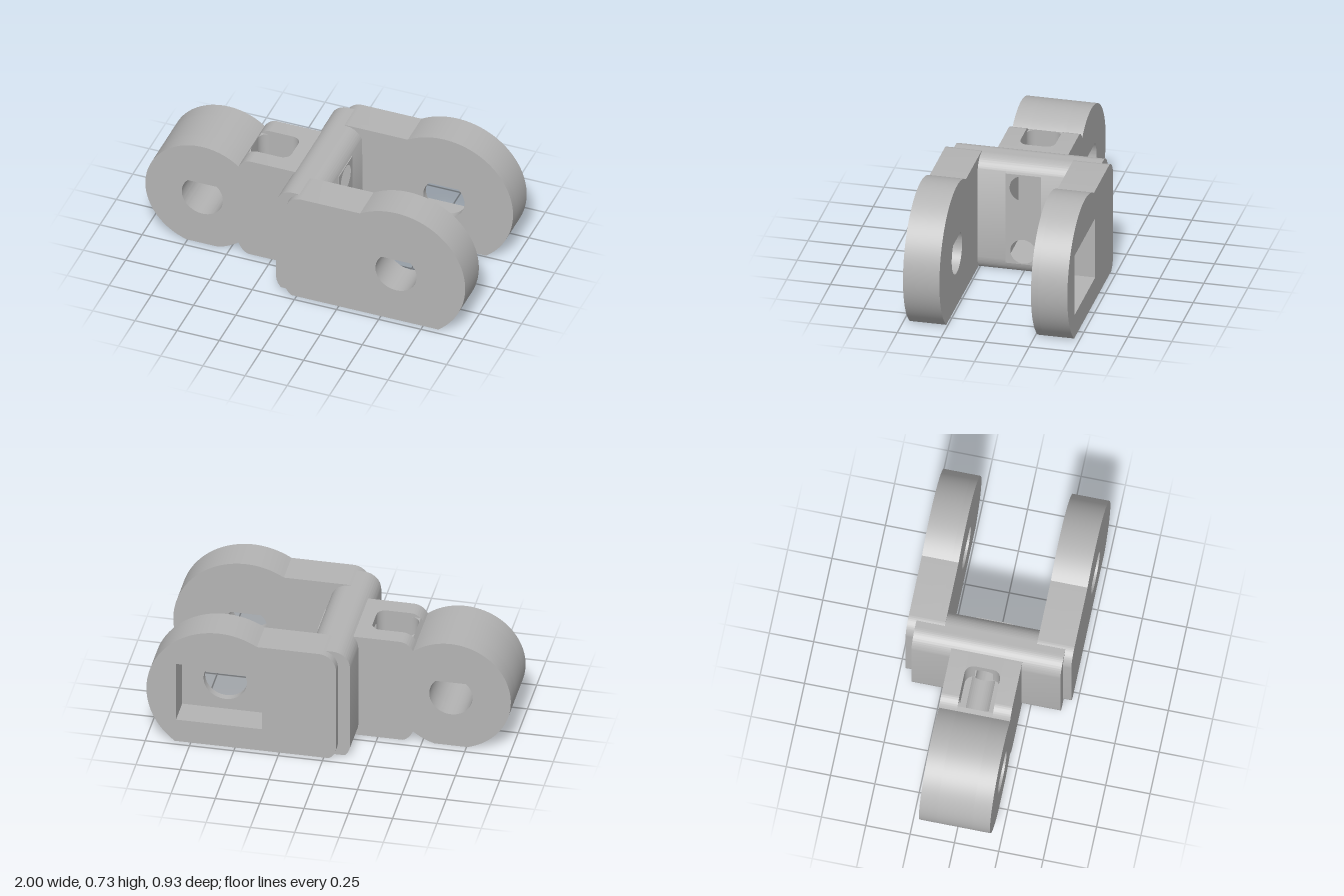
import * as THREE from 'three';
import { toCreasedNormals } from 'three/addons/utils/BufferGeometryUtils.js';

const grey = new THREE.MeshStandardMaterial({ color: 0xb4b4b4 });
grey.name = 'grey plastic';

const CY = 0.325; // height of both pivot holes
const BACK = -0.19; // where the slotted part of the tongue meets the bored core

export function createModel() {
  const model = new THREE.Group();
  model.name = 'hingeLink';

  function add(name, geometry) {
    const mesh = new THREE.Mesh(toCreasedNormals(geometry, 0.5), grey);
    mesh.name = name;
    model.add(mesh);
  }
  const extrude = (shape, depth) =>
    new THREE.ExtrudeGeometry(shape, { depth, bevelEnabled: false, curveSegments: 32 });
  // outline in x,y extruded along z
  const alongZ = (name, shape, z0, z1) => add(name, extrude(shape, z1 - z0).translate(0, 0, z0));
  // outline in z,y extruded along x
  const alongX = (name, shape, x0, x1) =>
    add(name, extrude(shape, x1 - x0).rotateY(Math.PI / 2).translate(x0, 0, 0));
  const box = (name, x0, x1, y0, y1, z0, z1) =>
    add(name, new THREE.BoxGeometry(x1 - x0, y1 - y0, z1 - z0)
      .translate((x0 + x1) / 2, (y0 + y1) / 2, (z0 + z1) / 2));

  // pivot hole: circle with a 45 degree peak
  function teardrop(cx) {
    const r = 0.122, p = new THREE.Path();
    p.moveTo(cx, CY + r * Math.SQRT2);
    p.absarc(cx, CY, r, Math.PI * 0.75, Math.PI * 2.25, false);
    p.closePath();
    return p;
  }
  function rectPath(x0, x1, y0, y1) {
    return new THREE.Path([[x0, y0], [x0, y1], [x1, y1], [x1, y0]].map(c => new THREE.Vector2(...c)));
  }

  // tongue: round knuckle plus neck, optionally with the top and bottom slots cut out
  function tongueShape(slotted) {
    const cx = -0.662, r = 0.338, cut = Math.asin(CY / r);
    const a = Math.atan2(0.26, 0.212);
    const s = new THREE.Shape();
    if (slotted) {
      s.moveTo(BACK, 0.203);
      s.lineTo(BACK, 0.44);
      s.lineTo(-0.41, 0.44);
      s.lineTo(-0.41, 0.475);
      s.lineTo(-0.43, 0.475);
      s.lineTo(-0.43, 0.617);
    } else {
      s.moveTo(-0.1, 0);
      s.lineTo(-0.1, 0.64);
      s.lineTo(-0.37, 0.64);
      s.quadraticCurveTo(-0.42, 0.64, -0.45, 0.585);
    }
    s.absarc(cx, CY, r, a, Math.PI + cut, false);
    s.absarc(cx, CY, r, -cut, -a, false);
    if (slotted) {
      s.lineTo(-0.43, 0.03);
      s.lineTo(-0.43, 0.168);
      s.lineTo(-0.41, 0.168);
      s.lineTo(-0.41, 0.203);
    } else {
      s.quadraticCurveTo(-0.425, 0.01, -0.39, 0);
    }
    s.closePath();
    s.holes.push(teardrop(cx));
    return s;
  }
  alongZ('tongueMiddle', tongueShape(true), -0.1, 0.1);
  alongZ('tongueCheek', tongueShape(false), 0.1, 0.2);
  alongZ('tongueCheek', tongueShape(false), -0.2, -0.1);

  // grooved floors of the slots, continuing the bores
  const bores = [
    { y: 0.517, r: 0.077, ledge: 0.475, base: 0.43 },
    { y: 0.13, r: 0.073, ledge: 0.168, base: 0.213 },
  ];
  for (const b of bores) {
    const a = Math.asin((b.ledge - b.y) / b.r);
    const s = new THREE.Shape();
    s.moveTo(-0.1, b.base);
    s.lineTo(0.1, b.base);
    s.lineTo(0.1, b.ledge);
    s.absarc(0, b.y, b.r, a, Math.PI - a, a < 0);
    s.lineTo(-0.1, b.ledge);
    s.closePath();
    alongX('slotFloor', s, -0.41, BACK);
  }

  // rounded inner corners of the slots
  for (const [cx, sx] of [[-0.43, 1], [BACK, -1]]) {
    for (const sz of [1, -1]) {
      const r = 0.05, pts = [new THREE.Vector2(cx, sz * 0.1)];
      for (let i = 0; i <= 8; i++) {
        const t = (i / 8) * Math.PI / 2;
        pts.push(new THREE.Vector2(cx + sx * r * (1 - Math.sin(t)), sz * (0.1 - r * (1 - Math.cos(t)))));
      }
      const inset = sx > 0 ? 0.025 : 0;
      for (const [y0, y1] of [[0.475, 0.64 - inset], [inset, 0.168]]) {
        add('slotCorner', extrude(new THREE.Shape(pts), y1 - y0).rotateX(-Math.PI / 2).translate(0, y0, 0));
      }
    }
  }

  // core of the crossbar with two bores running through it
  const LOW = 0.052, HIGH = 0.6;
  const core = new THREE.Shape(rectPath(-0.1, 0.1, LOW, HIGH).getPoints());
  for (const b of bores) {
    const hole = new THREE.Path();
    hole.absarc(0, b.y, b.r, 0, Math.PI * 2, true);
    core.holes.push(hole);
  }
  alongX('boredCore', core, BACK, 0.11);
  box('neckTop', BACK, -0.1, HIGH, 0.64, -0.1, 0.1);
  box('neckBottom', BACK, -0.1, 0, LOW, -0.1, 0.1);

  // crossbar: rounded edges, whole at the sides and capped over the core
  const barTop = s => {
    s.absarc(0.01, 0.57, 0.1, Math.asin(0.3), Math.PI / 2, false);
    s.absarc(-0.04, 0.57, 0.1, Math.PI / 2, Math.PI - Math.asin(0.3), false);
  };
  const barBottom = s => {
    s.lineTo(-0.14, 0.07);
    s.quadraticCurveTo(-0.136, 0.025, -0.11, 0);
    s.lineTo(0.08, 0);
    s.quadraticCurveTo(0.106, 0.025, 0.11, 0.07);
  };
  const bar = new THREE.Shape();
  bar.moveTo(0.11, 0.57);
  barTop(bar);
  bar.lineTo(-0.14, 0.57);
  barBottom(bar);
  bar.closePath();
  alongZ('crossbarSide', bar, 0.1, 0.42);
  alongZ('crossbarSide', bar, -0.42, -0.1);

  const topCap = new THREE.Shape();
  topCap.moveTo(0.105, HIGH);
  barTop(topCap);
  topCap.closePath();
  alongZ('crossbarTop', topCap, -0.1, 0.1);

  const bottomCap = new THREE.Shape();
  bottomCap.moveTo(-0.138, LOW);
  bottomCap.quadraticCurveTo(-0.13, 0.02, -0.11, 0);
  bottomCap.lineTo(0.08, 0);
  bottomCap.quadraticCurveTo(0.1, 0.02, 0.108, LOW);
  bottomCap.closePath();
  alongZ('crossbarBottom', bottomCap, -0.1, 0.1);

  // fork arms: round head on a straight shank
  function armShape(hole) {
    const cx = 0.59, r = 0.41;
    const s = new THREE.Shape();
    s.moveTo(-0.03, 0);
    s.absarc(cx, CY, r, -Math.asin(CY / r), Math.PI - Math.asin(0.35 / r), false);
    s.absarc(0.03, 0.575, 0.1, Math.PI / 2, Math.PI, false);
    s.lineTo(-0.07, 0.07);
    s.quadraticCurveTo(-0.066, 0.025, -0.03, 0);
    s.holes.push(hole);
    return s;
  }
  alongZ('frontArm', armShape(teardrop(0.59)), 0.26, 0.467);
  // the back arm has a rectangular recess in its outer face
  alongZ('backArmInner', armShape(teardrop(0.59)), -0.3, -0.26);
  alongZ('backArmOuter', armShape(rectPath(0.347, 0.833, 0.14, 0.505)), -0.467, -0.3);

  return model;
}
